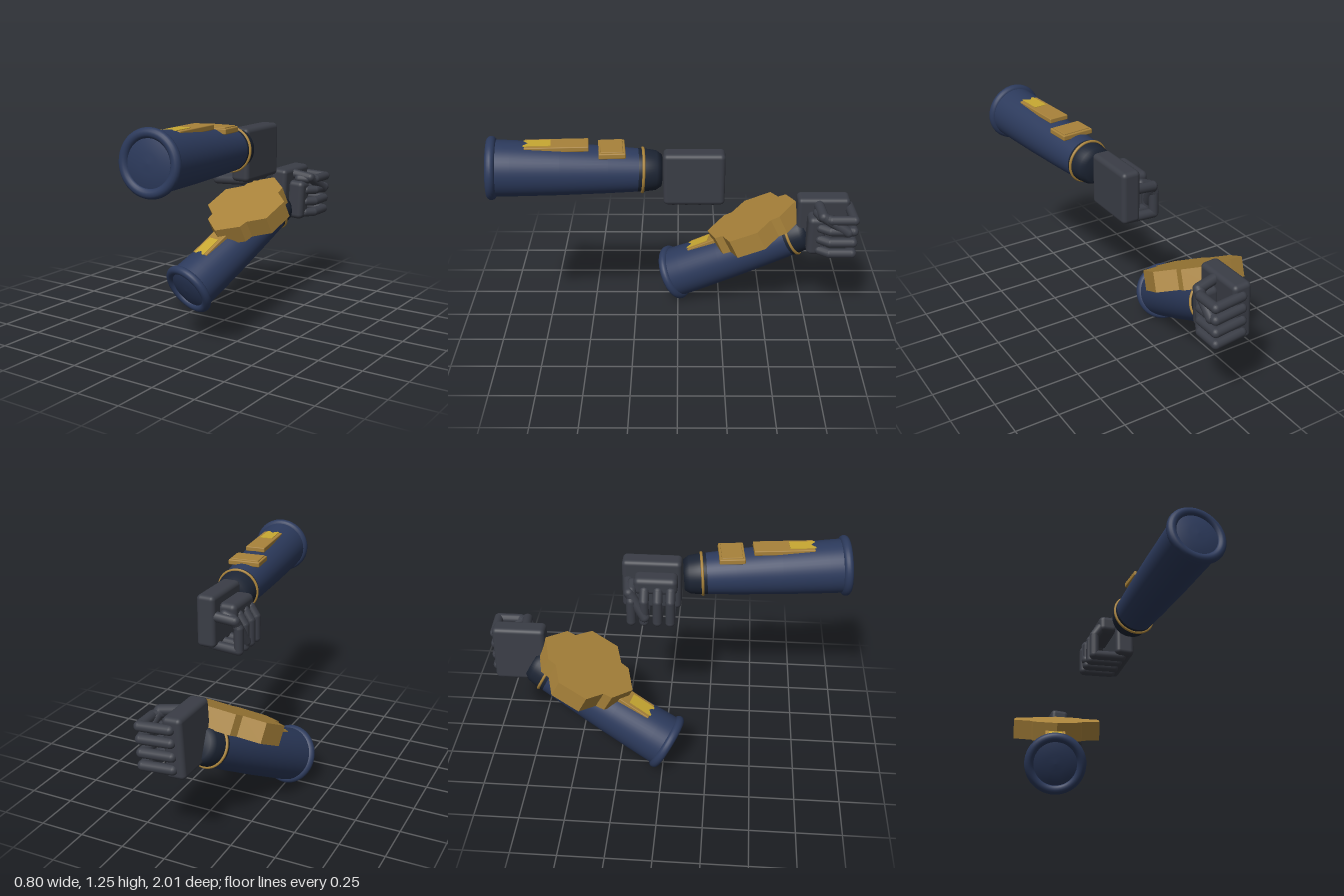
import * as THREE from 'three';
import { RoundedBoxGeometry } from 'three/addons/geometries/RoundedBoxGeometry.js';

const V = (x, y, z) => new THREE.Vector3(x, y, z);
const mat = (color) => new THREE.MeshStandardMaterial({ color });
const blue = mat(0x2c3a5c), dark = mat(0x1c2433), brass = mat(0xa8823a);
const yellow = mat(0xc8a832), grey = mat(0x3a3d46);

function add(parent, name, geometry, material, x = 0, y = 0, z = 0) {
  const mesh = new THREE.Mesh(geometry, material);
  mesh.name = name;
  mesh.position.set(x, y, z);
  parent.add(mesh);
  return mesh;
}

// Turned part running from the elbow (local z = 0) towards the wrist (-z)
function turned(profile) {
  const pts = profile.map(([r, s]) => new THREE.Vector2(r, s));
  return new THREE.LatheGeometry(pts, 48).rotateX(-Math.PI / 2);
}

// Chain of rounded segments through the given joints
function digit(parent, name, joints, radius) {
  const group = new THREE.Group();
  group.name = name;
  for (let i = 0; i + 1 < joints.length; i++) {
    const a = joints[i], b = joints[i + 1];
    const dir = b.clone().sub(a);
    const seg = add(group, name + 'Segment', new THREE.CapsuleGeometry(radius, dir.length(), 6, 14), grey);
    seg.position.copy(a).lerp(b, 0.5);
    seg.quaternion.setFromUnitVectors(V(0, 1, 0), dir.normalize());
  }
  parent.add(group);
}

// Closed hand: fingers point to -z, thumb side is +y, palm faces m * x
function makeHand(name, m) {
  const hand = new THREE.Group();
  hand.name = name;
  add(hand, 'palm', new RoundedBoxGeometry(0.108, 0.328, 0.295, 4, 0.025), grey);
  add(hand, 'palmPad', new RoundedBoxGeometry(0.11, 0.24, 0.1, 4, 0.03), grey, m * 0.092, -0.027, 0.043);
  for (const t of [0.103, 0.033, -0.041, -0.111]) {
    digit(hand, 'finger', [
      V(m * 0.01, t, -0.145), V(m * 0.172, t, -0.155),
      V(m * 0.172, t, -0.03), V(m * 0.138, t, 0.022), V(m * 0.09, t, 0.04),
    ], 0.027);
  }
  digit(hand, 'thumb', [
    V(m * 0.04, 0.128, 0.03), V(m * 0.155, 0.115, 0.015), V(m * 0.178, 0.03, -0.125),
  ], 0.029);
  return hand;
}

// Forearm laid from the elbow to the wrist
function makeArm(name, elbow, wrist) {
  const arm = new THREE.Group();
  arm.name = name;
  const d = wrist.clone().sub(elbow).normalize();
  const x = d.clone().cross(V(0, 1, 0)).normalize();
  const up = x.clone().cross(d);
  arm.quaternion.setFromRotationMatrix(new THREE.Matrix4().makeBasis(x, up, d.clone().negate()));
  arm.position.copy(elbow);

  add(arm, 'sleeve', turned([[0.149, 0], [0.147, 0.1], [0.138, 0.35], [0.125, 0.6], [0.114, 0.77]]), blue);
  add(arm, 'elbowCap', turned([[0, -0.022], [0.05, -0.02], [0.1, -0.014], [0.145, 0]]), blue);
  add(arm, 'elbowRim', new THREE.TorusGeometry(0.141, 0.026, 16, 48), blue);
  add(arm, 'cuff', turned([[0.108, 0.75], [0.115, 0.76], [0.113, 0.8], [0.105, 0.855],
    [0.085, 0.885], [0.0, 0.886]]), dark);
  add(arm, 'wristRing', new THREE.TorusGeometry(0.116, 0.008, 10, 48), brass, 0, 0, -0.785);

  // Long plate with its bright inlay follows the taper of the sleeve
  const plate = new THREE.Group();
  plate.name = 'longPlate';
  plate.position.set(0, 0.133, -0.335);
  plate.rotation.x = 0.042;
  add(plate, 'plateBody', new RoundedBoxGeometry(0.115, 0.028, 0.33, 2, 0.005), brass);
  add(plate, 'plateInlay', new THREE.BoxGeometry(0.075, 0.012, 0.14), yellow, 0, 0.011, 0.1);
  arm.add(plate);
  return arm;
}

function shieldGeometry() {
  // One quarter of the outline, mirrored to all four
  const q = [[0, 0.283], [0.14, 0.203], [0.147, 0.152], [0.253, 0.086]];
  const back = q.slice(1).reverse();
  const outline = [
    ...q,
    ...back.map(([u, v]) => [u, -v]),
    ...q.map(([u, v]) => [-u, -v]),
    ...back.map(([u, v]) => [-u, v]),
  ];
  const shape = new THREE.Shape(outline.map(([u, v]) => new THREE.Vector2(u, v)));
  return new THREE.ExtrudeGeometry(shape, { depth: 0.11, bevelEnabled: false }).rotateX(-Math.PI / 2);
}

export function createModel() {
  const model = new THREE.Group();
  model.name = 'pairOfArms';

  // Left arm, held level, hand hanging
  const left = makeArm('leftArm', V(0.235, 1.09, 0.967), V(0.155, 1.04, 0.09));
  const small = new THREE.Group();
  small.name = 'smallPlate';
  small.position.set(0, 0.117, -0.62);
  small.rotation.x = 0.042;
  add(small, 'smallPlateBase', new RoundedBoxGeometry(0.188, 0.03, 0.14, 2, 0.006), brass);
  add(small, 'smallPlateTop', new RoundedBoxGeometry(0.165, 0.014, 0.115, 2, 0.004), brass, 0, 0.014, 0);
  left.add(small);
  const leftHand = makeHand('leftHand', -1);
  leftHand.position.set(0.147, 0.997, -0.087);
  leftHand.rotation.x = -Math.PI / 2;

  // Right arm, raised forward, carrying the shield
  const right = makeArm('rightArm', V(-0.24, 0.158, 0.02), V(-0.068, 0.55, -0.73));
  add(right, 'shield', shieldGeometry(), brass, 0.01, 0.085, -0.609);
  const rightHand = makeHand('rightHand', 1);
  rightHand.position.set(-0.052, 0.625, -0.818);
  rightHand.rotation.z = -0.05;

  model.add(left, leftHand, right, rightHand);
  return model;
}
